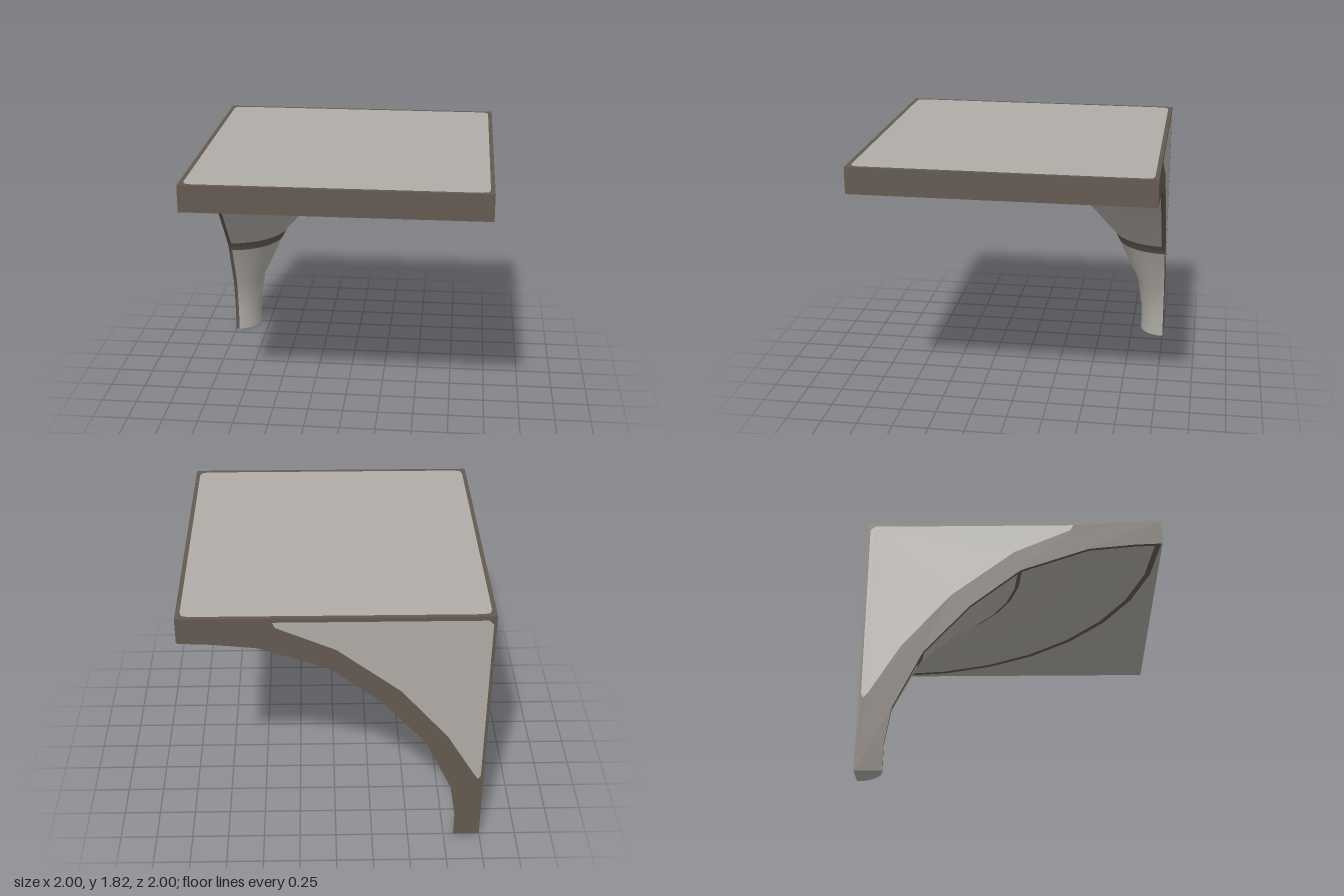
import * as THREE from 'three';

const material = (name, color) => {
  const m = new THREE.MeshStandardMaterial({ color });
  m.name = name;
  return m;
};

export function createModel() {
  const stone = material('pale stone', 0xb0aca7);
  const trim = material('brown trim', 0x635a50);
  const model = new THREE.Group();
  model.name = 'cornerVault';

  const add = (name, geometry, mat, parent = model) => {
    const mesh = new THREE.Mesh(geometry, mat);
    mesh.name = name;
    parent.add(mesh);
    return mesh;
  };

  // Flat face with an inset panel of pale stone and a brown border around it
  const borderedFace = (name, outline, inset, mirror = 1) => {
    const points = (list) => list.map(([u, v]) => new THREE.Vector2(u * mirror, v));
    const border = new THREE.Shape(points(outline));
    border.holes.push(new THREE.Path(points(inset)));
    const group = new THREE.Group();
    group.name = name;
    add(name + 'Border', new THREE.ShapeGeometry(border), trim, group);
    add(name + 'Panel', new THREE.ShapeGeometry(new THREE.Shape(points(inset))), stone, group);
    model.add(group);
    return group;
  };

  // Vault profile: radius from the corner, height
  const profile = [
    [0.18, 0], [0.18, 0.18], [0.22, 0.43], [0.375, 0.76], [0.41, 0.83], [0.71, 1.17],
    [1.02, 1.42], [1.05, 1.44], [1.5, 1.6], [1.82, 1.632], [1.95, 1.636], [1.99, 1.64],
  ];
  const bandRows = [3, 6, 10];

  // Quarter-turn vault, with narrow trim strips along its side edges and bands
  const segments = 8, strip = 0.025, quarter = Math.PI / 2;
  const columns = segments + 3;
  const positions = [], stoneFaces = [], trimFaces = [];
  for (const [r, y] of profile) {
    const edge = strip / r;
    for (let j = 0; j < columns; j++) {
      let a = edge + ((j - 1) / segments) * (quarter - 2 * edge);
      if (j === 0) a = 0;
      if (j === columns - 1) a = quarter;
      positions.push(-1 + r * Math.cos(a), y, -1 + r * Math.sin(a));
    }
  }
  for (let i = 0; i < profile.length - 1; i++) {
    for (let j = 0; j < columns - 1; j++) {
      const a = i * columns + j, b = a + 1, c = a + columns, d = c + 1;
      const isTrim = bandRows.includes(i) || j === columns - 2 || (j === 0 && i > 3);
      (isTrim ? trimFaces : stoneFaces).push(a, c, b, b, c, d);
    }
  }
  const vault = new THREE.BufferGeometry();
  vault.setAttribute('position', new THREE.Float32BufferAttribute(positions, 3));
  vault.setIndex([...stoneFaces, ...trimFaces]);
  vault.addGroup(0, stoneFaces.length, 0);
  vault.addGroup(stoneFaces.length, trimFaces.length, 1);
  vault.computeVertexNormals();
  add('vault', vault, [stone, trim]);

  // Foot of the column
  const foot = add('columnFoot', new THREE.CircleGeometry(0.18, segments, 0, quarter), stone);
  foot.rotation.x = quarter;
  foot.position.set(-1, 0, -1);

  // Two flat wall sides, running from the corner over the arch and slab edge
  const wall = [[0, 0], ...profile.filter((p, i) => i > 0 || p[1] === 0), [2, 1.64], [2, 1.82], [0, 1.82]];
  const wallInset = [
    [0.02, 0.53], [0.035, 0.5], [0.06, 0.53], [0.26, 0.87], [0.58, 1.25],
    [1.0, 1.58], [1.38, 1.75], [1.4, 1.79], [0.05, 1.79], [0.02, 1.76],
  ];
  const leftWall = borderedFace('rightWall', wall, wallInset);
  leftWall.rotation.y = -quarter;
  leftWall.position.set(-1, 0, -1);
  const backWall = borderedFace('backWall', wall, wallInset, -1);
  backWall.rotation.y = Math.PI;
  backWall.position.set(-1, 0, -1);

  // Slab: bordered top, plain underside and two brown edges
  const square = [[-1, -1], [1, -1], [1, 1], [-1, 1]];
  const s = 0.972, c = 0.92;
  const topInset = [[-c, -s], [c, -s], [0.96, -0.96], [s, -c], [s, c], [0.96, 0.96],
    [c, s], [-c, s], [-0.96, 0.96], [-s, c], [-s, -c], [-0.96, -0.96]];
  const top = borderedFace('slabTop', square, topInset);
  top.rotation.x = -quarter;
  top.position.y = 1.82;

  const underside = add('slabUnderside', new THREE.PlaneGeometry(2, 2), stone);
  underside.rotation.x = quarter;
  underside.position.y = 1.64;

  const edge = new THREE.PlaneGeometry(2, 0.18);
  add('slabFrontEdge', edge, trim).position.set(0, 1.73, 1);
  const side = add('slabLeftEdge', edge, trim);
  side.rotation.y = quarter;
  side.position.set(1, 1.73, 0);

  return model;
}
